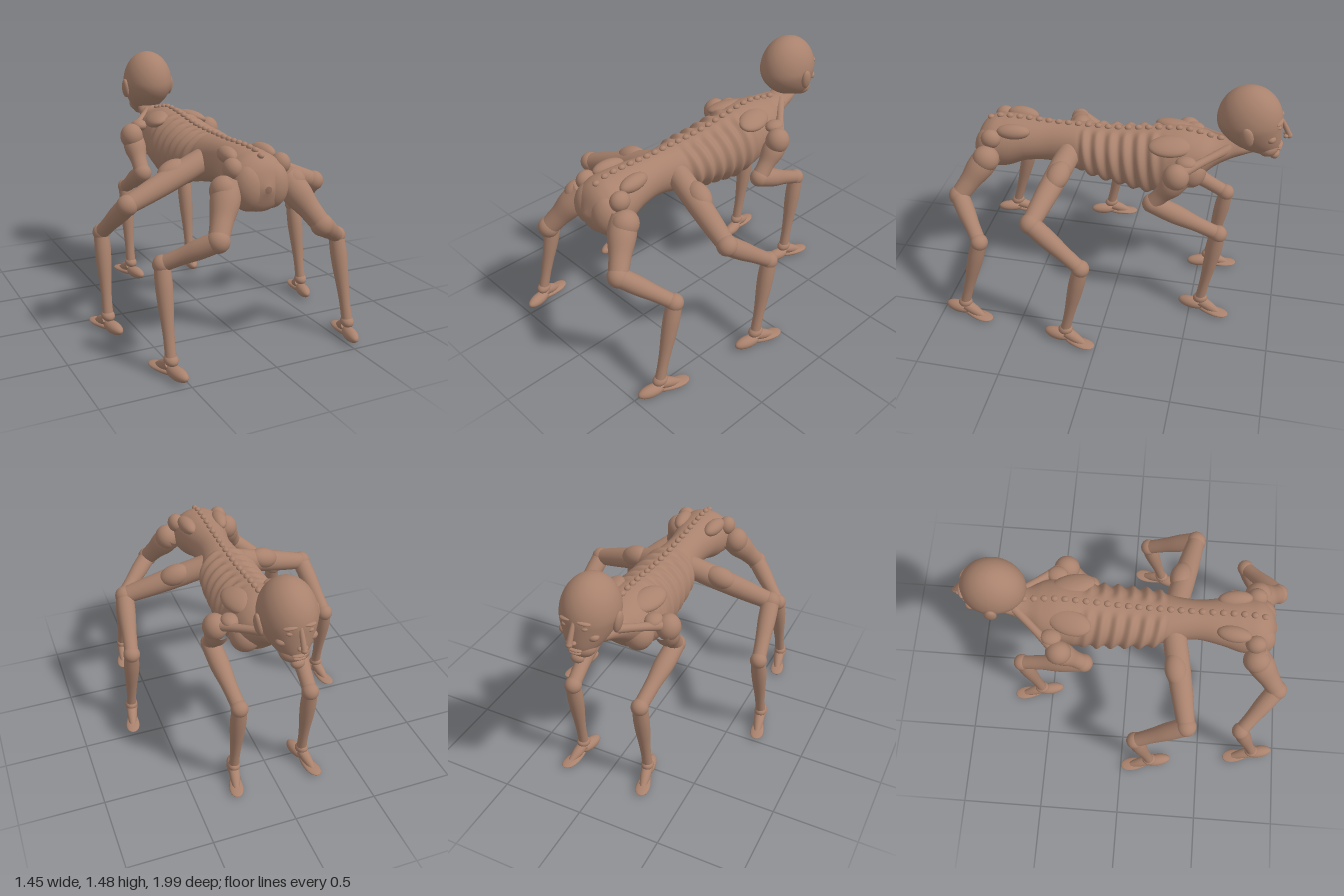
import * as THREE from 'three';

const skin = new THREE.MeshStandardMaterial({ color: 0xa9826d });
skin.name = 'skin';

function add(parent, name, geometry) {
  const mesh = new THREE.Mesh(geometry, skin);
  mesh.name = name;
  parent.add(mesh);
  return mesh;
}

function blob(parent, name, [x, y, z], [rx, ry, rz], rotation = [0, 0, 0]) {
  const mesh = add(parent, name, new THREE.SphereGeometry(1, 28, 20));
  mesh.position.set(x, y, z);
  mesh.scale.set(rx, ry, rz);
  mesh.rotation.set(...rotation);
  return mesh;
}

// Round limb from a to b whose radius follows a smooth profile
function limb(parent, name, a, b, radii) {
  const from = new THREE.Vector3(...a);
  const dir = new THREE.Vector3(...b).sub(from);
  const length = dir.length();
  const profile = radii.map((r, i) => new THREE.Vector2(r, (length * i) / (radii.length - 1)));
  const mesh = add(parent, name, new THREE.LatheGeometry(new THREE.SplineCurve(profile).getPoints(20), 24));
  mesh.position.copy(from);
  mesh.quaternion.setFromUnitVectors(new THREE.Vector3(0, 1, 0), dir.normalize());
  return mesh;
}

// Torso and neck cross-sections: z, then top, bottom, half width
const sections = [
  [-0.8, 1.16, 1.08, 0.05], [-0.74, 1.155, 1.06, 0.075], [-0.66, 1.135, 1.02, 0.085],
  [-0.58, 1.135, 0.965, 0.11], [-0.5, 1.155, 0.89, 0.16], [-0.4, 1.17, 0.8, 0.185],
  [-0.25, 1.16, 0.745, 0.185], [0, 1.13, 0.785, 0.178], [0.15, 1.125, 0.82, 0.168],
  [0.25, 1.125, 0.84, 0.135], [0.4, 1.125, 0.87, 0.115], [0.55, 1.13, 0.86, 0.14],
  [0.68, 1.13, 0.81, 0.165], [0.78, 1.11, 0.81, 0.16], [0.84, 1.05, 0.85, 0.11], [0.87, 0.97, 0.93, 0.02],
];
const sectionAt = new THREE.CubicInterpolant(
  sections.map((s) => s[0]), sections.flatMap((s) => s.slice(1)), 3);

// Lofted body with raised ribs around the chest
function bodyGeometry() {
  const rings = 210, sides = 56, pos = [], index = [];
  for (let i = 0; i <= rings; i++) {
    const z = -0.8 + (1.67 * i) / rings;
    const [top, bottom, width] = sectionAt.evaluate(z);
    for (let j = 0; j < sides; j++) {
      const a = (j / sides) * Math.PI * 2;
      const c = Math.cos(a), s = Math.sin(a);
      const zone = THREE.MathUtils.smoothstep(z, -0.33, -0.2) * (1 - THREE.MathUtils.smoothstep(z, 0.18, 0.24));
      const flank = THREE.MathUtils.smoothstep(Math.abs(c), 0.15, 0.5);
      const wave = Math.cos(((z - 0.03 * s) / 0.083) * Math.PI * 2);
      const rib = 0.011 * zone * flank * wave;
      pos.push(c * (width + rib), (top + bottom) / 2 + s * ((top - bottom) / 2 + rib), z);
      if (i < rings) {
        const p = i * sides + j, q = i * sides + ((j + 1) % sides);
        index.push(p, q, p + sides, q, q + sides, p + sides);
      }
    }
  }
  const g = new THREE.BufferGeometry();
  g.setAttribute('position', new THREE.Float32BufferAttribute(pos, 3));
  g.setIndex(index);
  g.computeVertexNormals();
  return g;
}

// Bald skull narrowing down and forward to the jaw
function skullGeometry() {
  const g = new THREE.SphereGeometry(1, 48, 36);
  const p = g.attributes.position;
  for (let i = 0; i < p.count; i++) {
    const y = p.getY(i), t = Math.max(0, -y);
    p.setXYZ(i, p.getX(i) * (1 - 0.2 * t) * 0.157, y * 0.205, p.getZ(i) * 0.185 - 0.1 * t * t);
  }
  g.computeVertexNormals();
  return g;
}

// Flat forefoot spreading toward the toes
function forefootGeometry() {
  const g = new THREE.SphereGeometry(1, 24, 16);
  const p = g.attributes.position;
  for (let i = 0; i < p.count; i++) {
    const z = p.getZ(i);
    p.setXYZ(i, p.getX(i) * (1 - 0.35 * z) * 0.04, p.getY(i) * (1 + 0.3 * z) * 0.018, z * 0.1);
  }
  g.computeVertexNormals();
  return g;
}

// Leg joints from the body down, with radii along the two upper bones
const legs = [
  { name: 'armLeg', root: [0.25, 1.01, -0.42], bend: [0.25, 0.8, -0.25], knee: [0.215, 0.61, -0.645],
    ankle: [0.22, 0.1, -0.565], upper: [0.06, 0.068, 0.05, 0.05], lower: [0.055, 0.058, 0.045, 0.042], joint: 0.056 },
  { name: 'middleLeg', root: [0.08, 0.99, 0.27], bend: [0.595, 0.81, 0.38], knee: [0.645, 0.575, 0.085],
    ankle: [0.655, 0.1, 0.185], upper: [0.07, 0.07, 0.064, 0.052], lower: [0.055, 0.054, 0.045, 0.042], joint: 0.06 },
  { name: 'hindLeg', root: [0.17, 0.97, 0.74], bend: [0.31, 0.73, 0.91], knee: [0.54, 0.58, 0.72],
    ankle: [0.55, 0.1, 0.85], upper: [0.075, 0.08, 0.062, 0.055], lower: [0.055, 0.054, 0.045, 0.042], joint: 0.062 },
];

function buildLeg(leg, s) {
  const g = new THREE.Group();
  g.name = leg.name;
  const [root, bend, knee, ankle] = [leg.root, leg.bend, leg.knee, leg.ankle].map(([x, y, z]) => [x * s, y, z]);
  const ball = (name, p, r) => blob(g, name, p, [r, r, r]);
  limb(g, 'upperBone', root, bend, leg.upper);
  ball('bendJoint', bend, leg.joint);
  limb(g, 'middleBone', bend, knee, leg.lower);
  ball('knee', knee, 0.051);
  limb(g, 'shin', knee, ankle, [0.043, 0.047, 0.043, 0.035, 0.03, 0.031]);

  // Foot, turned slightly outward
  const foot = new THREE.Group();
  foot.name = 'foot';
  foot.position.set(ankle[0], 0, ankle[2]);
  foot.rotation.y = -0.22 * s;
  g.add(foot);
  blob(foot, 'ankle', [0, 0.098, 0], [0.038, 0.032, 0.045], [0.25, 0, 0]);
  blob(foot, 'heel', [0, 0.041, 0.055], [0.038, 0.036, 0.085]);
  limb(foot, 'instep', [0, 0.075, -0.005], [0, 0.022, -0.12], [0.034, 0.03, 0.018]);
  add(foot, 'toes', forefootGeometry()).position.set(0, 0.02, -0.085);
  return g;
}

function buildHead() {
  const head = new THREE.Group();
  head.name = 'head';
  add(head, 'skull', skullGeometry()).position.set(0, 1.28, -0.755);
  limb(head, 'nose', [0, 1.315, -0.925], [0, 1.205, -0.982], [0.009, 0.013, 0.015, 0.016]);
  blob(head, 'noseTip', [0, 1.203, -0.98], [0.018, 0.017, 0.02]);
  blob(head, 'upperLip', [0, 1.142, -0.935], [0.042, 0.009, 0.018]);
  blob(head, 'lowerLip', [0, 1.123, -0.932], [0.036, 0.01, 0.018]);
  blob(head, 'chin', [0, 1.076, -0.912], [0.038, 0.03, 0.03]);
  blob(head, 'jaw', [0, 1.125, -0.868], [0.085, 0.06, 0.066]);
  for (const s of [-1, 1]) {
    blob(head, 'ear', [0.157 * s, 1.25, -0.755], [0.022, 0.062, 0.036], [0.15, 0, -0.1 * s]);
    blob(head, 'brow', [0.055 * s, 1.312, -0.922], [0.038, 0.01, 0.016], [0, -0.3 * s, -0.15 * s]);
    blob(head, 'eye', [0.055 * s, 1.278, -0.917], [0.02, 0.012, 0.017]);
    blob(head, 'cheekbone', [0.08 * s, 1.215, -0.882], [0.035, 0.025, 0.03]);
    blob(head, 'nostril', [0.016 * s, 1.204, -0.963], [0.013, 0.011, 0.014]);
  }
  return head;
}

export function createModel() {
  const model = new THREE.Group();
  model.name = 'sixLeggedCreature';
  add(model, 'body', bodyGeometry());
  model.add(buildHead());

  // Knobs of the spine
  for (let i = 0; i < 24; i++) {
    const z = -0.6 + i * 0.06;
    blob(model, 'vertebra', [0, sectionAt.evaluate(z)[0] + 0.004, z], [0.018, 0.016, 0.021]);
  }

  for (const s of [-1, 1]) {
    for (const leg of legs) model.add(buildLeg(leg, s));
    // Shoulder girdle
    blob(model, 'shoulder', [0.265 * s, 1.01, -0.385], [0.07, 0.078, 0.075]);
    blob(model, 'shoulderBlade', [0.115 * s, 1.115, -0.33], [0.075, 0.04, 0.13], [0, 0.25 * s, -0.35 * s]);
    blob(model, 'shoulderCap', [0.195 * s, 1.065, -0.43], [0.05, 0.035, 0.06]);
    limb(model, 'collarbone', [0.24 * s, 1.04, -0.43], [0.04 * s, 1.1, -0.66], [0.03, 0.024, 0.024, 0.03]);
    blob(model, 'chestMuscle', [0.11 * s, 0.96, -0.45], [0.09, 0.1, 0.09]);
    // Pelvis
    blob(model, 'hipCrest', [0.108 * s, 1.092, 0.61], [0.048, 0.045, 0.1], [0, 0.12 * s, 0]);
    blob(model, 'hipKnob', [0.145 * s, 1.05, 0.74], [0.052, 0.058, 0.06]);
    blob(model, 'hip', [0.205 * s, 0.945, 0.76], [0.075, 0.08, 0.08]);
    blob(model, 'buttock', [0.07 * s, 0.95, 0.77], [0.095, 0.13, 0.095]);
    blob(model, 'thighMuscle', [0.29 * s, 0.945, 0.295], [0.1, 0.065, 0.066], [0, -0.2 * s, -0.33 * s]);
  }
  return model;
}
